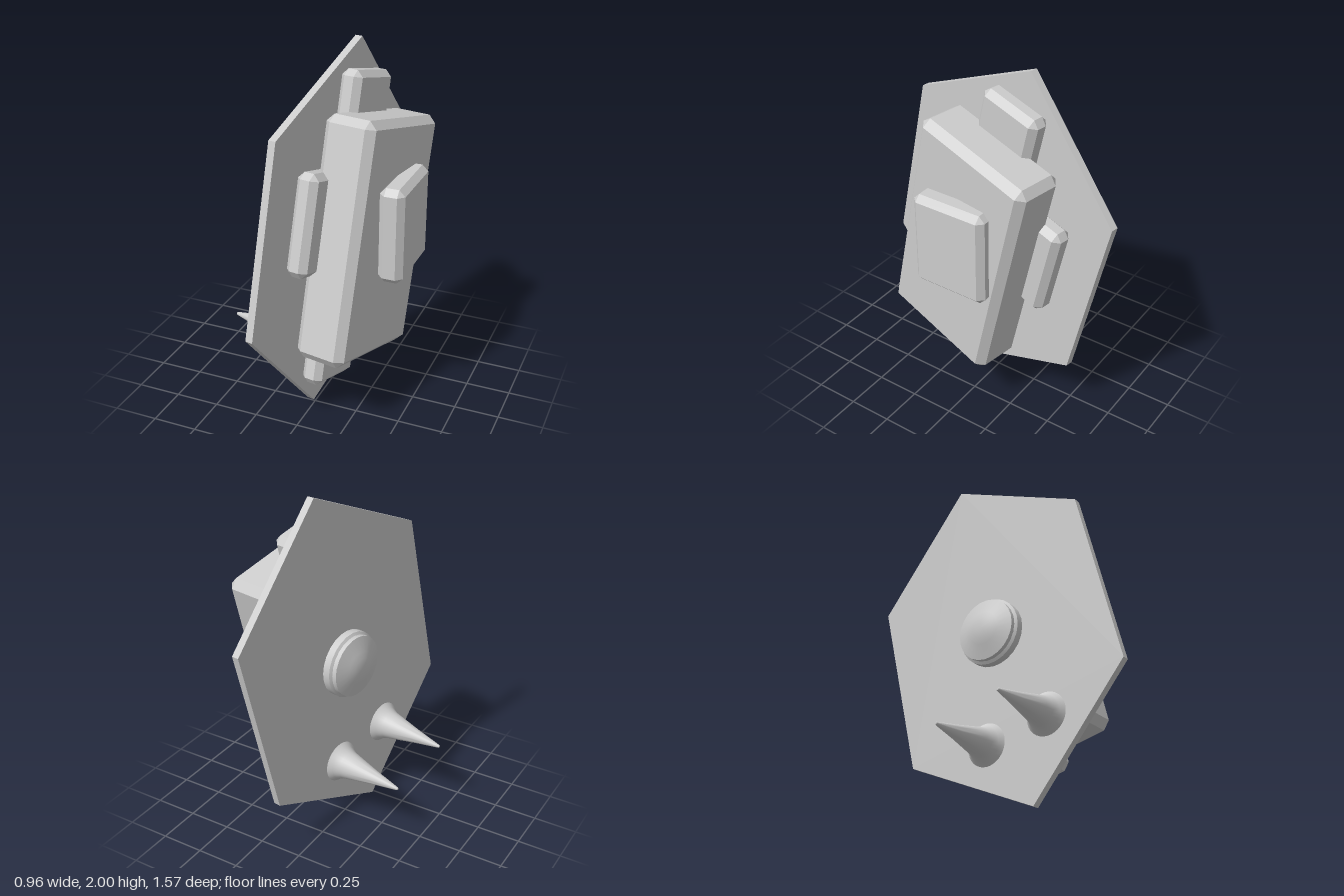
import * as THREE from 'three';
import { ConvexGeometry } from 'three/addons/geometries/ConvexGeometry.js';
import { toCreasedNormals } from 'three/addons/utils/BufferGeometryUtils.js';

// Box with a single flat chamfer on every edge
function chamferBox(w, h, d, b) {
  const half = [w / 2, h / 2, d / 2];
  const points = [];
  for (const sx of [-1, 1]) for (const sy of [-1, 1]) for (const sz of [-1, 1]) {
    const sign = [sx, sy, sz];
    for (let axis = 0; axis < 3; axis++) {
      points.push(new THREE.Vector3(...half.map((v, i) => sign[i] * (i === axis ? v : v - b))));
    }
  }
  return new ConvexGeometry(points);
}

// Turned part that grows out of the back of the plate (towards -z)
function turned(profile, segments) {
  const g = new THREE.LatheGeometry(profile.map(([r, h]) => new THREE.Vector2(r, h)), segments);
  g.rotateX(-Math.PI / 2);
  return toCreasedNormals(g, 0.6);
}

export function createModel() {
  const grey = new THREE.MeshStandardMaterial({ color: 0xcccccc });
  grey.name = 'light grey';

  const model = new THREE.Group();
  model.name = 'hexagonBackpack';

  // Tilted assembly: local +z is the plate's outward normal
  const body = new THREE.Group();
  body.name = 'tiltedBody';
  body.position.set(0.01, 1, 0);
  body.rotation.set(0, THREE.MathUtils.degToRad(80), THREE.MathUtils.degToRad(-13.6));
  model.add(body);

  const add = (parent, name, geometry, x = 0, y = 0, z = 0) => {
    const mesh = new THREE.Mesh(geometry, grey);
    mesh.name = name;
    mesh.position.set(x, y, z);
    parent.add(mesh);
    return mesh;
  };

  // Stretched hexagonal plate
  const hexagon = new THREE.Shape([
    [0, 1.03], [-0.69, 0.515], [-0.69, -0.515], [0, -1.03], [0.69, -0.515], [0.69, 0.515],
  ].map(([x, y]) => new THREE.Vector2(x, y)));
  add(body, 'hexagonPlate', new THREE.ExtrudeGeometry(hexagon, { depth: 0.042, bevelEnabled: false }), 0, 0, -0.021);

  // Stacked boxes on the outer side
  add(body, 'mainBox', chamferBox(0.735, 1.305, 0.29, 0.042), 0, 0, 0.213);
  add(body, 'longBox', chamferBox(0.37, 1.735, 0.125, 0.035), 0, 0, 0.08);
  add(body, 'crossBox', chamferBox(0.98, 0.55, 0.125, 0.035), 0, 0.08, 0.085);

  // Stepped round knob in the middle of the back
  add(body, 'backKnob', turned([
    [0.19, 0], [0.19, 0.045], [0.175, 0.055], [0.175, 0.08], [0.095, 0.105], [0.06, 0.117], [0, 0.119],
  ], 24), 0, 0, -0.018);

  // Pair of flared spikes low on the back
  const spike = turned([
    [0.12, 0], [0.098, 0.025], [0.082, 0.06], [0.073, 0.1], [0.04, 0.25], [0.009, 0.412], [0.006, 0.418], [0, 0.42],
  ], 32);
  for (const side of [-1, 1]) {
    add(body, side < 0 ? 'frontSpike' : 'rearSpike', spike, side * 0.194, -0.598, -0.02);
  }

  // Upright pad set into the outer face of the main box
  add(model, 'outerPad', chamferBox(0.138, 0.535, 0.44, 0.034), 0.409, 1.087, 0);

  return model;
}
